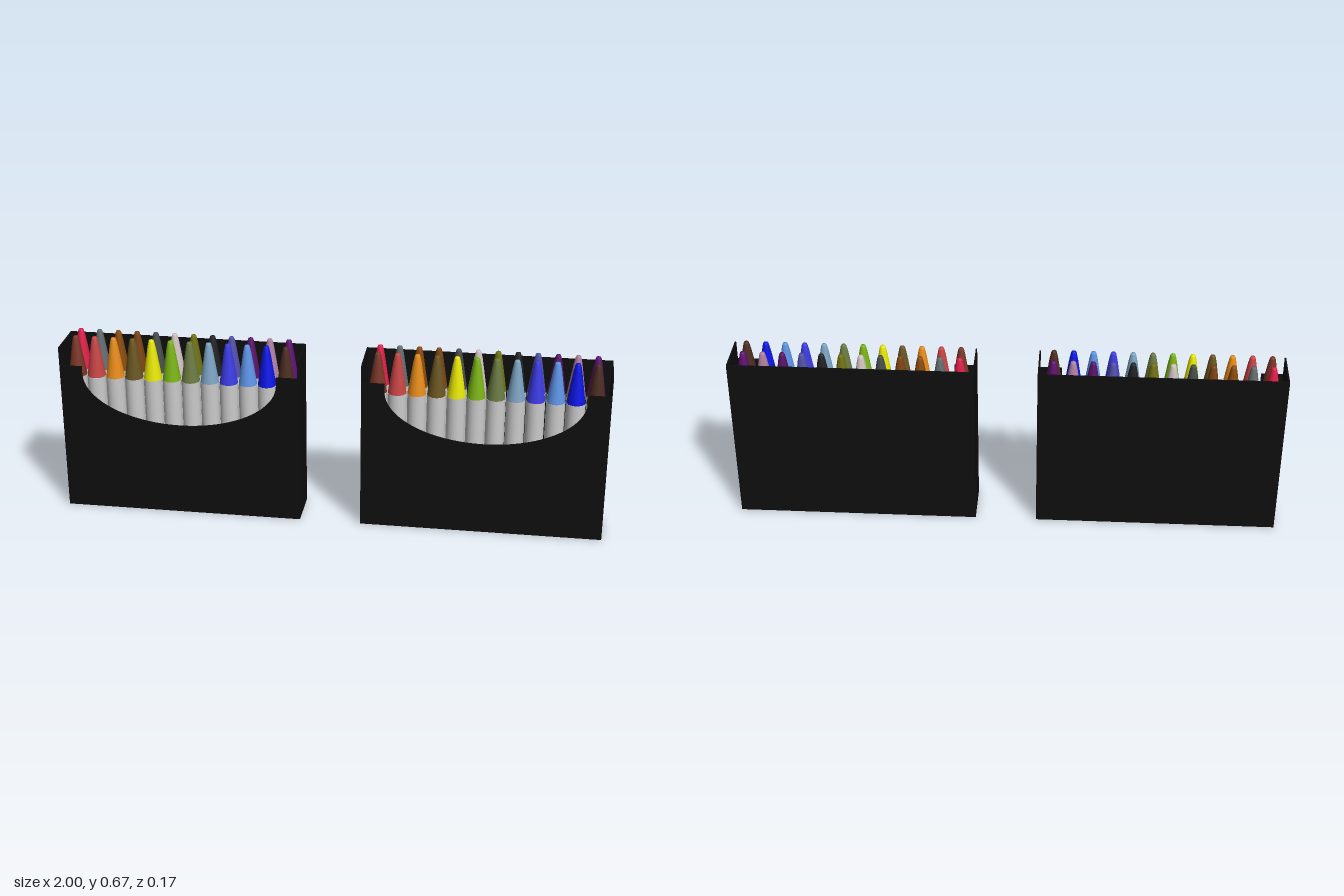
import * as THREE from 'three';

const W = 0.887, H = 0.64, D = 0.166, T = 0.005; // carton size and card thickness
const FRONT_TOP = 0.57;
const frontRow = [0x7a3528, 0xc84444, 0xe88c18, 0x6a5520, 0xe8e800, 0x7ab412, 0x6a7a42,
  0x7ca4c4, 0x3a3ae4, 0x5c94e6, 0x0a14e4, 0x4a2c20];
const backRow = [0xe01c4a, 0x646c6e, 0x8a4a0a, 0x7a4210, 0x444c4a, 0xd0c2c2, 0x70700f,
  0x202022, 0x5050a8, 0x581268, 0xb080a0, 0x5e1070];

const card = new THREE.MeshStandardMaterial({ color: 0x0e0e0e, side: THREE.DoubleSide });
const paper = new THREE.MeshStandardMaterial({ color: 0xcccccc });

function add(parent, name, geometry, material, x = 0, y = 0, z = 0) {
  const mesh = new THREE.Mesh(geometry, material);
  mesh.name = name;
  mesh.position.set(x, y, z);
  parent.add(mesh);
  return mesh;
}

// Lower front panel with a half-oval window scooped out of its top edge
function frontPanelGeometry() {
  const s = new THREE.Shape();
  const a = 0.36, b = 0.185, cy = 0.54;
  s.moveTo(-W / 2, 0);
  s.lineTo(W / 2, 0);
  s.lineTo(W / 2, FRONT_TOP);
  s.lineTo(a, FRONT_TOP);
  s.lineTo(a, cy);
  s.absellipse(0, cy, a, b, 0, Math.PI, true, 0);
  s.lineTo(-a, FRONT_TOP);
  s.lineTo(-W / 2, FRONT_TOP);
  s.closePath();
  return new THREE.ExtrudeGeometry(s, { depth: T, bevelEnabled: false, curveSegments: 32 });
}

const wrapperGeometry = new THREE.CylinderGeometry(0.034, 0.034, 0.515, 20);
// Tapered wax point with a small blunt end
const tipGeometry = new THREE.LatheGeometry([
  [0.034, 0.515], [0.033, 0.525], [0.0155, 0.64], [0.0105, 0.664], [0.008, 0.67], [0, 0.671],
].map(([r, y]) => new THREE.Vector2(r, y)), 20);

function crayon(color) {
  const g = new THREE.Group();
  g.name = 'crayon';
  add(g, 'paperWrapper', wrapperGeometry, paper, 0, 0.2625, 0);
  add(g, 'waxTip', tipGeometry, new THREE.MeshStandardMaterial({ color }));
  return g;
}

function crayonBox() {
  const g = new THREE.Group();
  g.name = 'crayonBox';

  // Carton
  add(g, 'frontPanel', frontPanelGeometry(), card, 0, 0, D / 2 - T);
  add(g, 'backPanel', new THREE.BoxGeometry(W, H, T), card, 0, H / 2, -D / 2 + T / 2);
  for (const s of [-1, 1]) {
    add(g, s > 0 ? 'leftPanel' : 'rightPanel', new THREE.BoxGeometry(T, H, D), card,
      s * (W - T) / 2, H / 2, 0);
  }
  add(g, 'bottomPanel', new THREE.BoxGeometry(W, T, D), card, 0, T / 2, 0);

  // Two rows of crayons
  [[frontRow, 0.034], [backRow, -0.037]].forEach(([colors, z]) => {
    colors.forEach((color, i) => {
      const c = crayon(color);
      c.position.set((i - 5.5) * 0.0708, 0, z);
      g.add(c);
    });
  });
  return g;
}

export function createModel() {
  const model = new THREE.Group();
  model.name = 'crayonBoxes';
  for (const s of [-1, 1]) {
    const box = crayonBox();
    box.position.x = s * (1 - W / 2);
    model.add(box);
  }
  return model;
}
